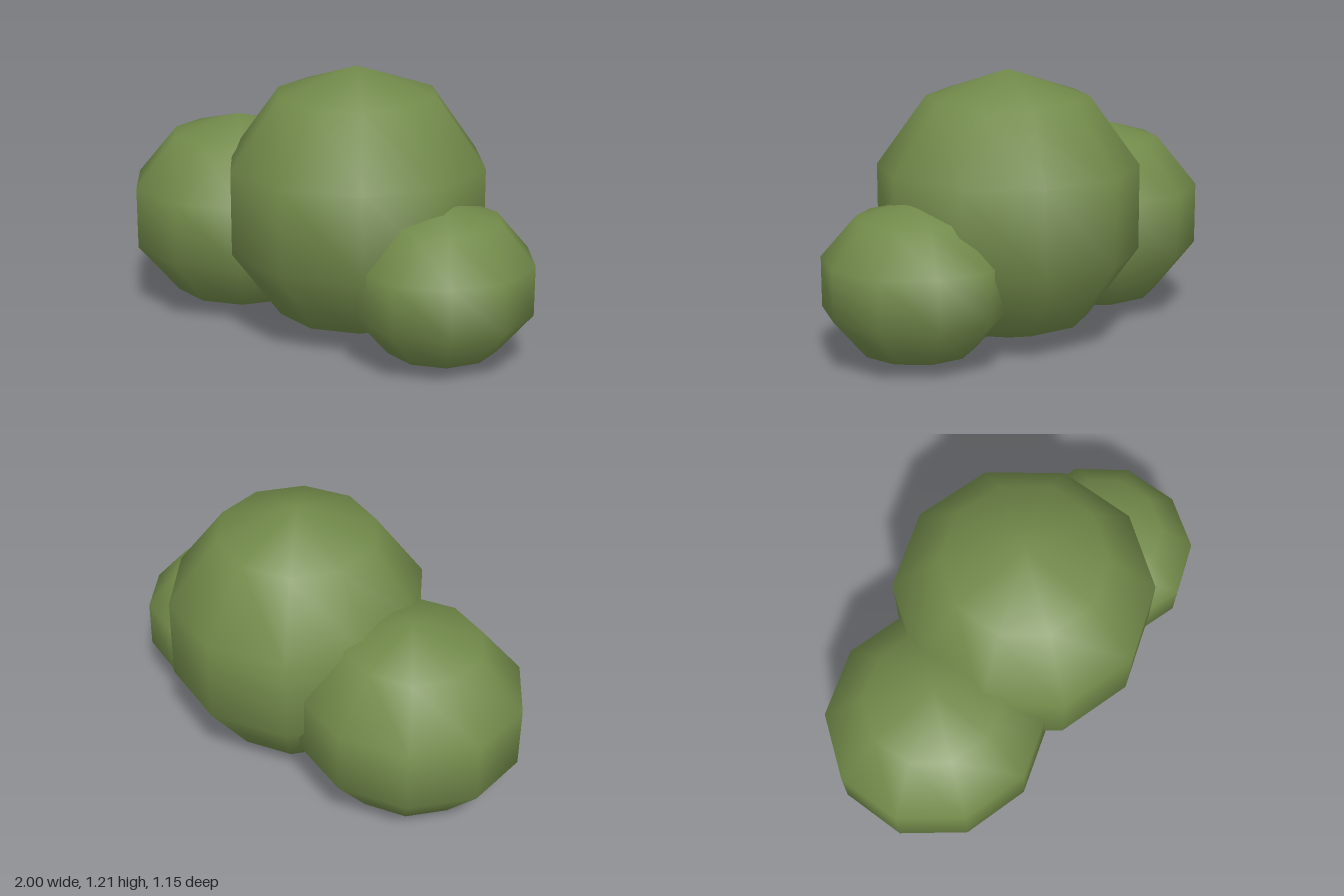
import * as THREE from 'three';

export function createModel() {
  const group = new THREE.Group();
  group.name = 'bush';
  const leafGreen = new THREE.MeshStandardMaterial({ color: 0x728a4a });
  leafGreen.name = 'leafGreen';

  // Smooth ten-sided blob, turned so a corner points to the front, resting on the ground
  function addClump(name, x, z, rx, ry, rz) {
    const geometry = new THREE.SphereGeometry(1, 10, 5);
    geometry.rotateY(Math.PI / 2);
    geometry.scale(rx, ry, rz);
    const mesh = new THREE.Mesh(geometry, leafGreen);
    mesh.name = name;
    mesh.position.set(x, ry, z);
    group.add(mesh);
  }

  addClump('middleClump', 0.125, 0, 0.605, 0.607, 0.605);
  addClump('rightClump', -0.52, 0, 0.531, 0.456, 0.504);
  addClump('leftClump', 0.63, 0.1, 0.409, 0.354, 0.43);

  return group;
}
